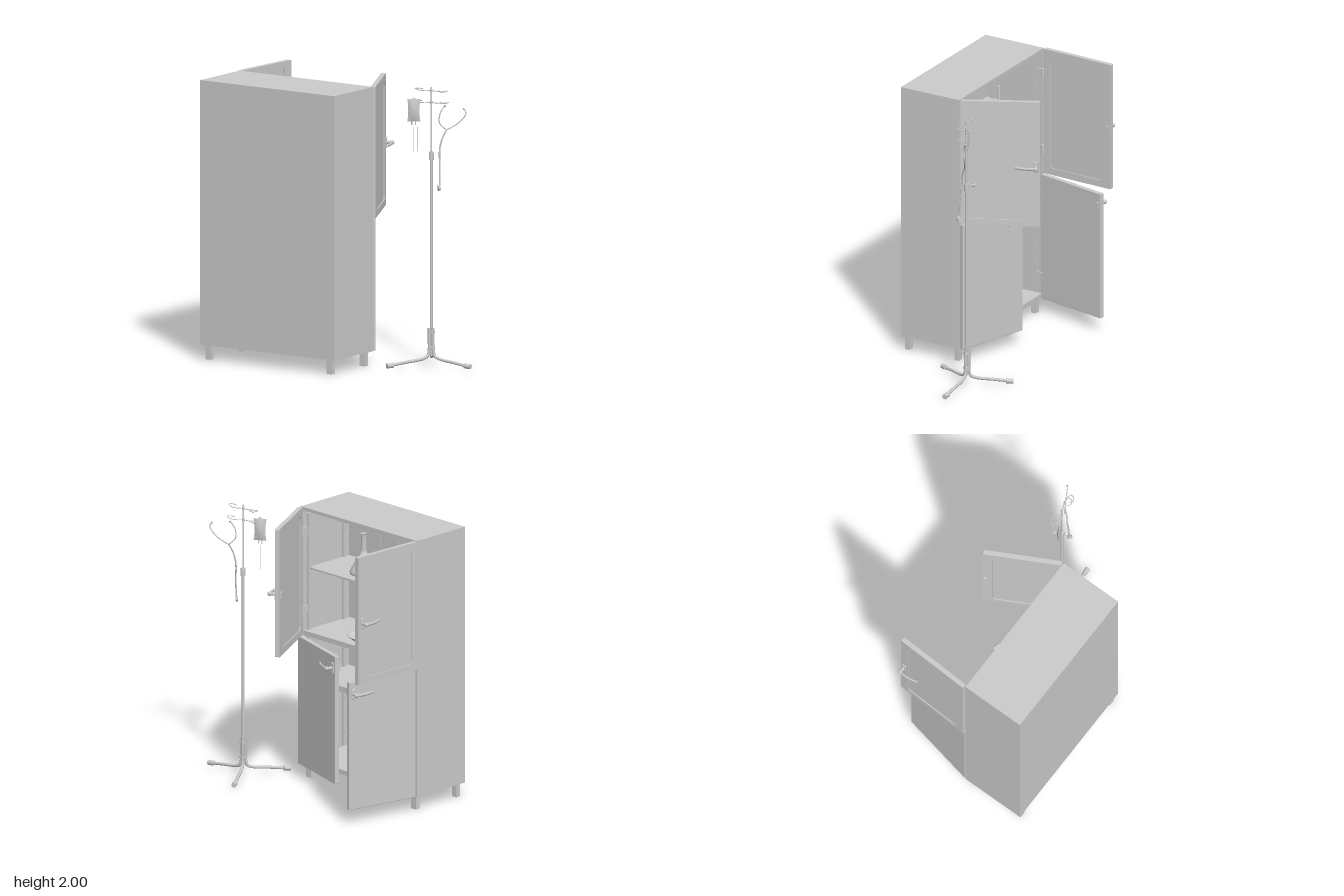
import * as THREE from 'three';
import { RoundedBoxGeometry } from 'three/addons/geometries/RoundedBoxGeometry.js';

const mat = new THREE.MeshStandardMaterial({ color: 0xcccccc });
const thin = new THREE.MeshStandardMaterial({ color: 0xcccccc, side: THREE.DoubleSide });
const V = (x, y, z) => new THREE.Vector3(x, y, z);

function add(parent, name, geo, x = 0, y = 0, z = 0, m = mat) {
  const mesh = new THREE.Mesh(geo, m);
  mesh.name = name;
  mesh.position.set(x, y, z);
  parent.add(mesh);
  return mesh;
}
const group = (parent, name) => {
  const g = new THREE.Group();
  g.name = name;
  parent.add(g);
  return g;
};
const box = (p, name, w, h, d, x, y, z) => add(p, name, new THREE.BoxGeometry(w, h, d), x, y, z);
const cyl = (p, name, r, h, x, y, z, r2 = r, n = 16) => add(p, name, new THREE.CylinderGeometry(r2, r, h, n), x, y, z);
const lathe = (p, name, pts, x, y, z, n = 32) =>
  add(p, name, new THREE.LatheGeometry(pts.map(q => new THREE.Vector2(...q)), n), x, y, z, thin);
const tube = (p, name, pts, r, n = 24) =>
  add(p, name, new THREE.TubeGeometry(new THREE.CatmullRomCurve3(pts.map(q => V(...q))), n, r, 8));

function roundRect(S, x0, y0, x1, y1, r) {
  const s = new S();
  s.absarc(x1 - r, y1 - r, r, 0, Math.PI / 2);
  s.absarc(x0 + r, y1 - r, r, Math.PI / 2, Math.PI);
  s.absarc(x0 + r, y0 + r, r, Math.PI, Math.PI * 1.5);
  s.absarc(x1 - r, y0 + r, r, Math.PI * 1.5, Math.PI * 2);
  s.closePath();
  return s;
}

function buildCabinet(root) {
  const g = group(root, 'cabinet');
  const zc = -0.31, D = 1.16, t = 0.025;
  box(g, 'backPanel', t, 1.895, D, -0.5175, 1.0525, zc);
  box(g, 'roof', 0.48, t, D, -0.29, 1.9875, zc);
  box(g, 'floor', 0.48, 0.035, D, -0.29, 0.1225, zc);
  box(g, 'divider', 0.45, 0.035, D - 0.04, -0.28, 1.0675, zc);
  box(g, 'upperShelf', 0.40, 0.012, D - 0.06, -0.3, 1.54, zc);
  box(g, 'lowerShelf', 0.40, 0.04, D - 0.06, -0.3, 0.714, zc);
  box(g, 'topRail', 0.02, 0.05, D - 0.06, -0.485, 1.935, zc);
  for (const z of [-0.21, -0.42, -0.64])
    cyl(g, 'railBolt', 0.009, 0.012, -0.47, 1.945, z).rotation.z = Math.PI / 2;
  for (const z of [-0.05, -0.225, -0.40, -0.575, -0.71])
    box(g, 'backRib', 0.01, 1.82, 0.055, -0.502, 1.06, z);
  for (const s of [-1, 1]) {
    box(g, 'sidePanel', 0.48, 1.895, t, -0.29, 1.0525, zc + s * (D / 2 - t / 2));
    for (const x of [-0.1, -0.45]) {
      box(g, 'shelfUpright', 0.03, 1.8, 0.02, x, 1.05, zc + s * (D / 2 - 0.033));
      for (let i = 0; i < 14; i++)
        box(g, 'uprightPeg', 0.012, 0.02, 0.006, x, 0.25 + i * 0.125, zc + s * (D / 2 - 0.045));
    }
    // square legs with a wider foot collar
    for (const x of [-0.495, -0.09]) {
      box(g, 'leg', 0.036, 0.11, 0.046, x, 0.055, zc + s * 0.525);
      box(g, 'legCollar', 0.04, 0.015, 0.056, x, 0.1, zc + s * 0.525);
    }
    // hinges
    for (const y of [0.27, 0.88, 1.24, 1.82]) {
      cyl(g, 'hingePin', 0.009, 0.07, -0.042, y, zc + s * (D / 2 - 0.028));
      box(g, 'hingeLeaf', 0.04, 0.06, 0.012, -0.065, y, zc + s * (D / 2 - 0.03));
    }
  }
}

// The door runs along local +x from its hinge; side is the outward z direction.
function buildDoor(root, name, x, z, y, degrees, side, framed, handleY) {
  const g = group(root, name), L = 0.565, H = 0.945, t = 0.034;
  g.position.set(x, y, z);
  g.rotation.y = THREE.MathUtils.degToRad(degrees);
  if (framed) {
    const s = roundRect(THREE.Shape, 0, 0, L, H, 0.006);
    s.holes.push(roundRect(THREE.Path, 0.055, 0.05, L - 0.07, H - 0.05, 0.03));
    add(g, 'doorFrame', new THREE.ExtrudeGeometry(s, { depth: t, bevelEnabled: false, curveSegments: 6 }), 0, 0, -t / 2);
    box(g, 'doorPane', L - 0.08, H - 0.06, t - 0.014, L / 2, H / 2, 0);
  } else {
    add(g, 'doorLeaf', new RoundedBoxGeometry(L, H, t, 2, 0.004), L / 2, H / 2, 0);
  }
  const h = handleY - y, u = L - 0.033;
  add(g, 'handlePlate', new RoundedBoxGeometry(0.034, 0.08, 0.012, 2, 0.005), u, h, side * (t / 2 + 0.004));
  cyl(g, 'handleStem', 0.011, 0.055, u, h, side * 0.04).rotation.x = Math.PI / 2;
  const lever = tube(g, 'handleLever', [[u + 0.014, 0, side * 0.064], [u - 0.03, 0, side * 0.068],
    [u - 0.09, 0, side * 0.062], [u - 0.145, 0, side * 0.045]], 0.008);
  lever.position.y = h;
  lever.scale.y = 1.4;
  add(g, 'leverBoss', new THREE.SphereGeometry(0.016, 12, 8), u, h, side * 0.065);
  box(g, 'latch', 0.02, 0.05, 0.016, L - 0.02, h, -side * (t / 2 + 0.006));
}

function buildContents(root) {
  const g = group(root, 'contents');
  const flask = (r, h, n, x, y, z) => lathe(g, 'flask', [[0, 0], [r * 0.95, 0], [r, 0.012], [r * 0.93, 0.03],
    [n, h * 0.52], [n * 0.85, h * 0.6], [n * 0.85, h * 0.97], [n * 1.15, h]], x, y, z);
  flask(0.102, 0.295, 0.024, -0.27, 1.546, -0.14);
  flask(0.058, 0.18, 0.024, -0.27, 1.086, -0.335);
  const dish = (name, r, h, x, y, z) =>
    lathe(g, name, [[0, 0], [r * 0.65, 0], [r, h], [r * 0.96, h], [r * 0.62, 0.006], [0, 0.006]], x, y, z);
  dish('bowl', 0.117, 0.032, -0.2, 1.086, -0.205);
  lathe(g, 'petriDish', [[0, 0], [0.06, 0], [0.06, 0.016], [0.056, 0.016], [0.056, 0.004], [0, 0.004]], -0.25, 1.546, -0.445);
  // measuring cylinder beside a small mortar
  cyl(g, 'measuringCylinder', 0.011, 0.2, -0.27, 1.65, -0.64);
  cyl(g, 'cylinderFoot', 0.04, 0.012, -0.27, 1.552, -0.64);
  lathe(g, 'mortar', [[0, 0], [0.025, 0], [0.02, 0.01], [0.032, 0.045], [0.028, 0.045], [0, 0.015]], -0.2, 1.546, -0.665);
  tube(g, 'pestle', [[-0.2, 1.565, -0.665], [-0.19, 1.585, -0.675], [-0.185, 1.61, -0.69]], 0.007, 6);
  // instrument trays and hand tools
  const tray = (x, y, z, w, d) => {
    box(g, 'trayBase', w, 0.005, d, x, y + 0.003, z);
    for (const s of [-1, 1]) {
      box(g, 'trayRim', 0.005, 0.018, d, x + s * w / 2, y + 0.009, z);
      box(g, 'trayRim', w, 0.018, 0.005, x, y + 0.009, z + s * d / 2);
    }
  };
  tray(-0.24, 1.086, -0.67, 0.16, 0.3);
  tray(-0.24, 0.734, -0.645, 0.14, 0.17);
  const tool = (x, y, z, len, a) => {
    const t = group(g, 'handTool');
    t.position.set(x, y, z);
    t.rotation.y = a;
    tube(t, 'toolShaft', [[0, 0.008, -len / 2], [0, 0.014, 0], [0, 0.01, len / 2]], 0.004, 8);
    add(t, 'toolHead', new THREE.SphereGeometry(0.016, 12, 8), 0, 0.012, len / 2).scale.set(1, 0.5, 1.5);
    const ring = add(t, 'toolRing', new THREE.TorusGeometry(0.012, 0.003, 6, 14), 0, 0.009, -len / 2 - 0.01);
    ring.rotation.x = Math.PI / 2;
  };
  for (let i = 0; i < 4; i++) {
    tool(-0.18 - i * 0.035, 1.098, -0.62 - i * 0.02, 0.2, (i - 1.5) * 0.2);
    tool(-0.16 - i * 0.05, 0.736, -0.33 - i * 0.055, 0.1, 0.5 - i * 0.6);
  }
  cyl(g, 'vial', 0.012, 0.12, -0.25, 0.752, -0.65).rotation.x = Math.PI / 2;
  // stacked plates on the floor
  for (let i = 0; i < 3; i++) dish('floorDish', 0.165 - i * 0.012, 0.022, -0.26, 0.14 + i * 0.013, -0.575 - i * 0.006);
}

function buildStand(root) {
  const g = group(root, 'dripStand');
  const X = 0.205, Z = 0.59;
  cyl(g, 'lowerPole', 0.0105, 1.43, X, 0.785, Z);
  cyl(g, 'upperPole', 0.006, 0.5, X, 1.745, Z);
  // three bent legs gathered into a sleeve
  for (const [x, z] of [[-0.085, 0.425], [0.47, 0.415], [0.22, 0.905]]) {
    const d = V(x - X, 0, z - Z), len = d.length();
    d.normalize();
    const p = (r, y) => [X + d.x * r, y, Z + d.z * r];
    tube(g, 'standLeg', [p(0.016, 0.27), p(0.016, 0.18), p(0.017, 0.11), p(0.028, 0.07), p(0.065, 0.052), p(len * 0.6, 0.036), p(len, 0.02)], 0.011, 40);
    const foot = cyl(g, 'rubberFoot', 0.018, 0.05, ...p(len - 0.012, 0.0215), 0.018, 14);
    foot.quaternion.setFromUnitVectors(V(0, 1, 0), V(d.x, -0.06, d.z).normalize());
  }
  for (const y of [0.13, 0.24]) cyl(g, 'sleeveBand', 0.025, 0.012, X, y, Z);
  // height clamp
  cyl(g, 'clampCollar', 0.018, 0.055, X, 1.5, Z);
  const screw = cyl(g, 'clampScrew', 0.006, 0.05, X + 0.025, 1.515, Z - 0.018);
  const knob = cyl(g, 'clampKnob', 0.013, 0.016, X + 0.042, 1.515, Z - 0.03, 0.013, 10);
  for (const m of [screw, knob]) m.quaternion.setFromUnitVectors(V(0, 1, 0), V(0.8, 0, -0.6));
  // two wire hangers with curled ends
  for (const [y, a] of [[1.97, 1.25], [1.885, 1.1]]) {
    const h = group(g, 'hanger');
    h.position.set(X, y, Z);
    h.rotation.y = -a;
    for (const s of [-1, 1])
      tube(h, 'hook', [[0, 0, 0], [s * 0.05, -0.004, 0], [s * 0.1, 0, s * 0.004], [s * 0.128, 0.006, s * 0.028],
        [s * 0.11, 0.004, s * 0.052], [s * 0.08, 0.002, s * 0.048], [s * 0.07, 0.008, s * 0.025]], 0.0032, 32);
    cyl(h, 'hangerHub', 0.009, 0.02, 0, 0, 0);
  }
  // fluid bag: a pinched pillow with a drip line
  const bag = group(g, 'fluidBag');
  bag.position.set(0.147, 1.825, 0.48);
  bag.rotation.y = -1.04;
  const geo = new THREE.BoxGeometry(0.094, 0.16, 0.03, 10, 14, 2), P = geo.attributes.position;
  for (let i = 0; i < P.count; i++) {
    const u = P.getX(i) / 0.047, v = P.getY(i) / 0.08;
    P.setX(i, P.getX(i) * (0.84 + 0.16 * v * v));
    P.setZ(i, P.getZ(i) * (0.12 + 0.88 * (1 - u * u) * (1 - v * v)));
  }
  geo.computeVertexNormals();
  add(bag, 'bagBody', geo);
  add(bag, 'bagLoop', new THREE.TorusGeometry(0.009, 0.0025, 6, 16), 0, 0.08, 0);
  for (const x of [-0.015, 0.012]) cyl(bag, 'bagPort', 0.004, 0.03, x, -0.09, 0);
  cyl(bag, 'dripLine', 0.002, 0.18, -0.002, -0.205, 0);
  cyl(bag, 'dripLine', 0.001, 0.18, 0.025, -0.205, 0);
  // stethoscope
  const st = group(g, 'stethoscope');
  tube(st, 'earTube', [[0.315, 1.84, 0.8], [0.318, 1.81, 0.81], [0.295, 1.745, 0.765], [0.25, 1.69, 0.69]], 0.004);
  tube(st, 'earTube', [[0.245, 1.86, 0.675], [0.222, 1.81, 0.655], [0.222, 1.74, 0.65], [0.25, 1.69, 0.69]], 0.004);
  for (const p of [[0.312, 1.843, 0.795], [0.247, 1.863, 0.678]])
    add(st, 'earTip', new THREE.SphereGeometry(0.0075, 10, 8), ...p);
  tube(st, 'rubberTube', [[0.25, 1.69, 0.69], [0.225, 1.64, 0.675], [0.21, 1.56, 0.66], [0.203, 1.42, 0.665], [0.197, 1.29, 0.667]], 0.0055, 32);
  const chest = cyl(st, 'chestPiece', 0.021, 0.018, 0.194, 1.28, 0.666, 0.016, 20);
  chest.quaternion.setFromUnitVectors(V(0, 1, 0), V(0.7, 0, 0.7));
}

export function createModel() {
  const root = new THREE.Group();
  root.name = 'medicalCabinetAndStand';
  buildCabinet(root);
  buildDoor(root, 'upperFrontDoor', -0.04, 0.262, 1.055, 28, 1, true, 1.51);
  buildDoor(root, 'lowerFrontDoor', -0.036, 0.262, 0.105, 72.5, 1, false, 0.96);
  buildDoor(root, 'upperBackDoor', -0.04, -0.89, 1.055, -2.5, -1, true, 1.51);
  buildDoor(root, 'lowerBackDoor', -0.046, -0.872, 0.105, -11.5, -1, false, 0.96);
  buildContents(root);
  buildStand(root);
  return root;
}
